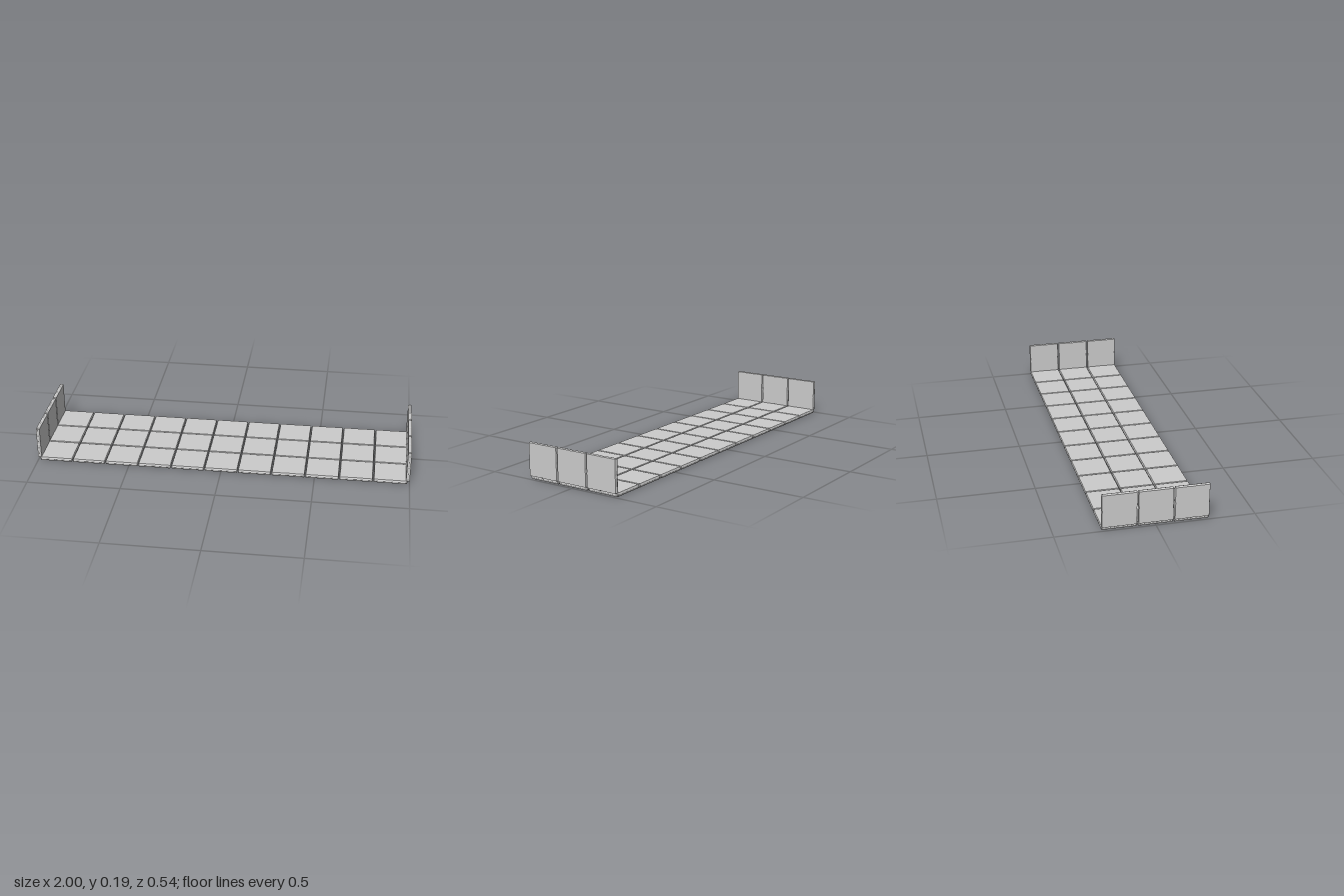
import * as THREE from 'three';

const PITCH = 0.18;      // spacing of the tiles
const SIZE = 0.177;      // outer width of one tile
const THICK = 0.019;
const BEVEL = 0.003;

// Square tile with clipped corners, a shallow notch in each side and bevelled rims
function makeTileGeometry() {
  const h = SIZE / 2 - BEVEL, c = 0.002, n = 0.01, d = 0.001;
  const side = [[-h + c, -h], [-n, -h], [-n * 0.6, -h + d], [n * 0.6, -h + d], [n, -h], [h - c, -h]];
  const points = [];
  for (let i = 0; i < 4; i++) {
    const turn = i * Math.PI / 2;
    for (const [x, y] of side) {
      points.push(new THREE.Vector2(x, y).rotateAround(new THREE.Vector2(), turn));
    }
  }
  const bevelThickness = THICK / 2 - 0.001;
  const geometry = new THREE.ExtrudeGeometry(new THREE.Shape(points), {
    depth: 0.002, bevelEnabled: true, bevelThickness, bevelSize: BEVEL, bevelSegments: 1,
  });
  return geometry.translate(0, 0, -0.001);
}

export function createModel() {
  const model = new THREE.Group();
  model.name = 'tiledTray';
  const material = new THREE.MeshStandardMaterial({ color: 0xcccccc, flatShading: true });
  const floorTile = makeTileGeometry().rotateX(-Math.PI / 2);
  const wallTile = makeTileGeometry().rotateY(Math.PI / 2);

  function addTile(parent, geometry, name, x, y, z) {
    const tile = new THREE.Mesh(geometry, material);
    tile.name = name;
    tile.position.set(x, y, z);
    parent.add(tile);
  }

  // Floor: eleven columns of three tiles
  const floor = new THREE.Group();
  floor.name = 'floor';
  for (let col = -5; col <= 5; col++) {
    for (let row = -1; row <= 1; row++) {
      addTile(floor, floorTile, 'floorTile', col * PITCH, THICK / 2, row * PITCH);
    }
  }
  model.add(floor);

  // Upright end walls, three tiles each
  for (const s of [-1, 1]) {
    const wall = new THREE.Group();
    wall.name = s > 0 ? 'leftWall' : 'rightWall';
    for (let row = -1; row <= 1; row++) {
      addTile(wall, wallTile, 'wallTile', s * (1 - THICK / 2), 0.193 - SIZE / 2, row * PITCH);
    }
    model.add(wall);
  }
  return model;
}
